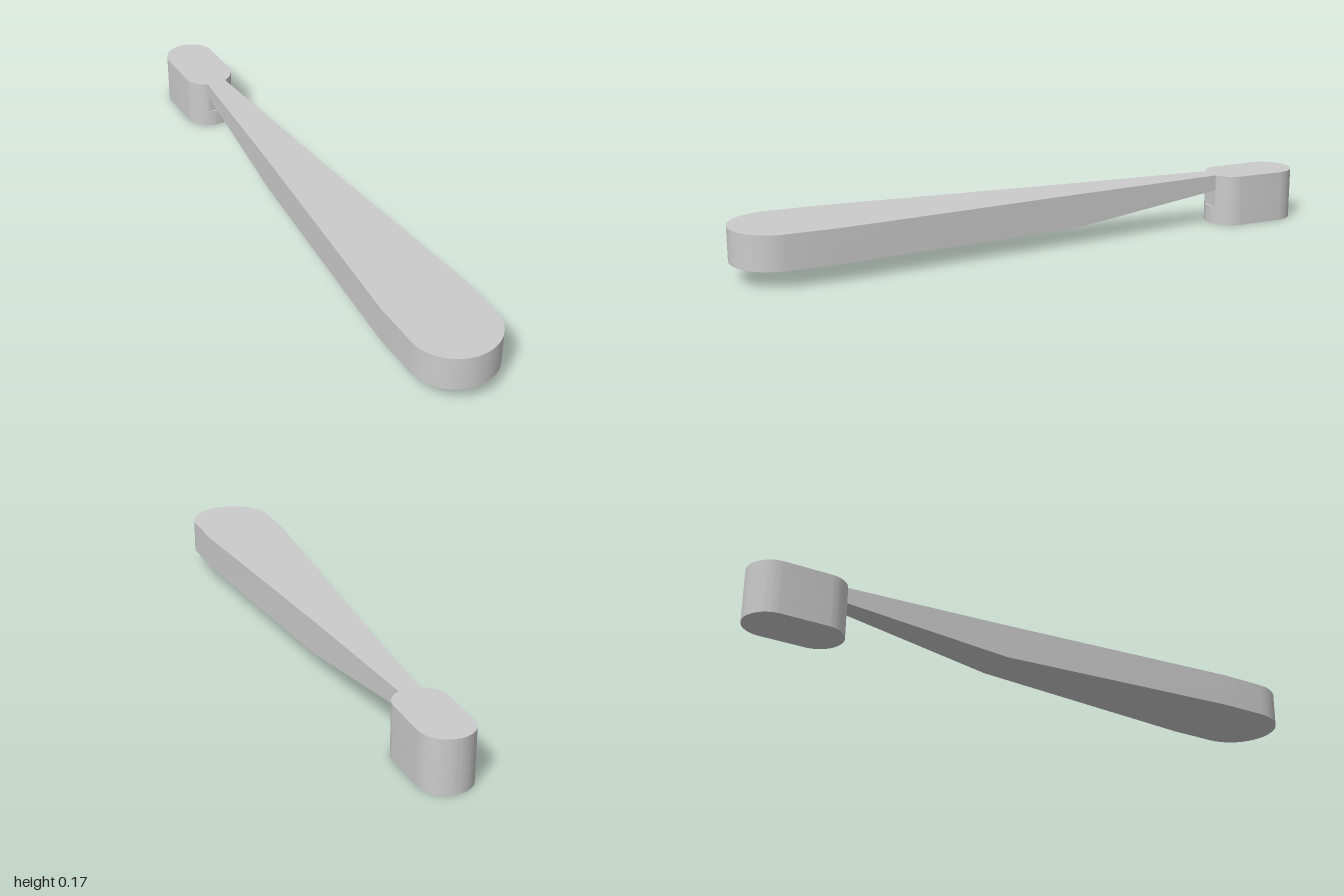
import * as THREE from 'three';
import { toCreasedNormals } from 'three/addons/utils/BufferGeometryUtils.js';

const TOP = 0.173, STEP = 0.06;          // top face, underside of the blade
const NECK_Z = -0.687, BEND_Z = -0.14;   // neck start, where the underside levels out
const BLADE_R = 0.143, HEAD_R = 0.086;

const material = new THREE.MeshStandardMaterial({ color: 0xcccccc });

function addPart(group, name, geometry) {
  const mesh = new THREE.Mesh(toCreasedNormals(geometry, 0.4), material);
  mesh.name = name;
  group.add(mesh);
}

// Upright slab with two round ends, from y0 to y1, cut flat at z = maxZ
function headSlab(y0, y1, maxZ) {
  const shape = new THREE.Shape();
  shape.absarc(0, 1 - HEAD_R, HEAD_R, 0, Math.PI);
  shape.absarc(0, 0.68 + HEAD_R, HEAD_R, Math.PI, Math.PI * 2);
  const geo = new THREE.ExtrudeGeometry(shape, { depth: y1 - y0, bevelEnabled: false, curveSegments: 24 });
  geo.rotateX(-Math.PI / 2).translate(0, y0, 0);
  const p = geo.attributes.position;
  for (let i = 0; i < p.count; i++) p.setZ(i, Math.min(p.getZ(i), maxZ));
  return geo;
}

// Tapering arm: box sections along z, each given as [z, half width, underside y]
function armGeometry() {
  const sections = [[NECK_Z, 0.034, 0.12], [BEND_Z, 0.073, STEP], [0.7, BLADE_R, STEP]];
  const arcSteps = 16;
  for (let i = 0; i <= arcSteps; i++) {
    const a = (i / arcSteps) * Math.PI / 2;
    sections.push([1 - BLADE_R + BLADE_R * Math.sin(a), BLADE_R * Math.cos(a), STEP]);
  }
  const n = sections.length - 1;
  const geo = new THREE.BoxGeometry(1, 1, 1, 1, 1, n);
  const p = geo.attributes.position;
  for (let i = 0; i < p.count; i++) {
    const [z, half, bottom] = sections[Math.round((p.getZ(i) + 0.5) * n)];
    p.setXYZ(i, Math.sign(p.getX(i)) * half, p.getY(i) > 0 ? TOP : bottom, z);
  }
  return geo;
}

export function createModel() {
  const group = new THREE.Group();
  group.name = 'leverHandle';
  addPart(group, 'arm', armGeometry());
  addPart(group, 'headBase', headSlab(0, STEP, 0));
  addPart(group, 'headTop', headSlab(STEP, TOP, NECK_Z));
  return group;
}
